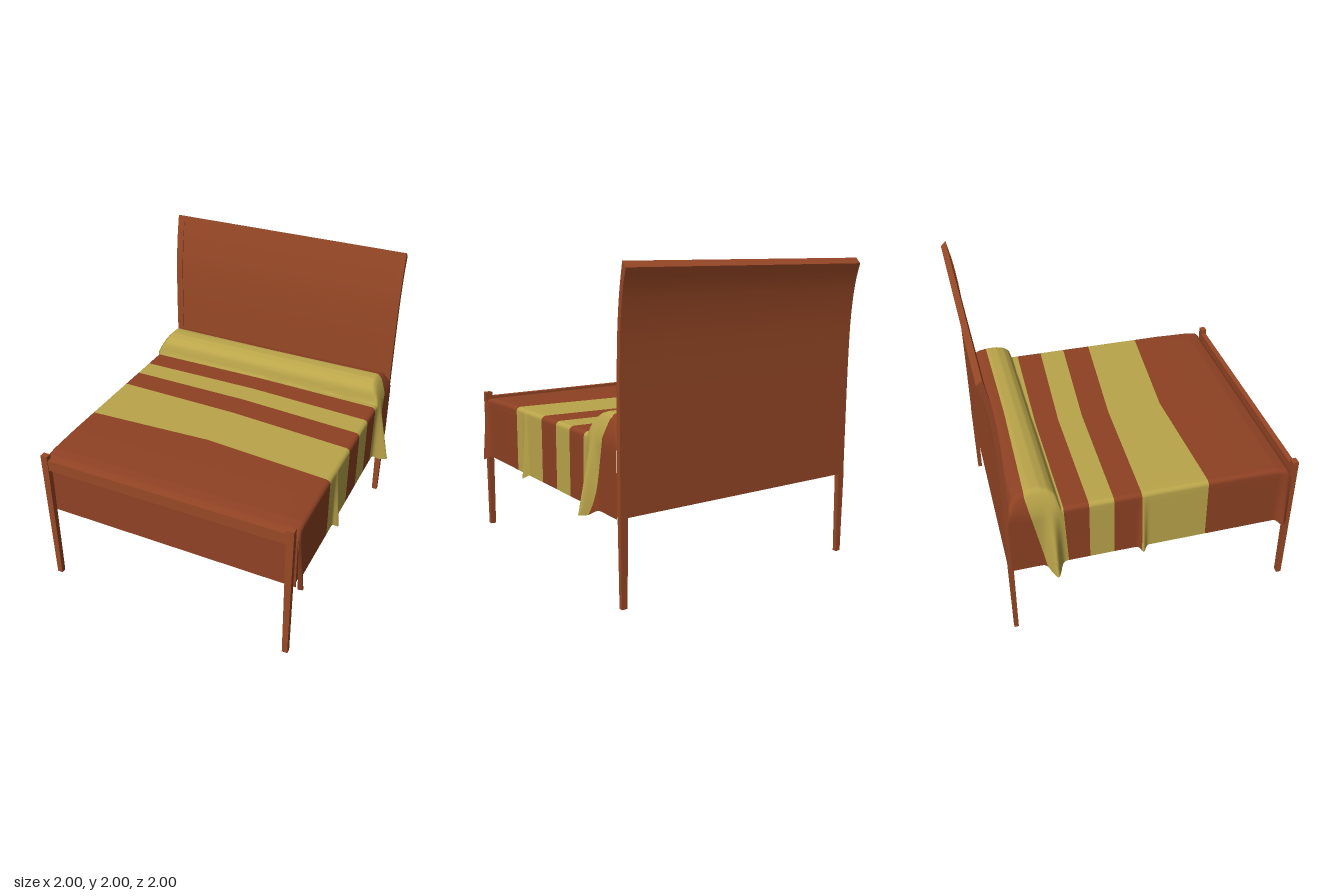
import * as THREE from 'three';
import { toCreasedNormals } from 'three/addons/utils/BufferGeometryUtils.js';

const mat = (name, color, side = THREE.FrontSide) => {
  const m = new THREE.MeshStandardMaterial({ color, side });
  m.name = name;
  return m;
};

// piecewise linear lookup through [key, value] pairs with rising keys
function lookup(table, k) {
  if (k <= table[0][0]) return table[0][1];
  for (let i = 1; i < table.length; i++) {
    const [k0, v0] = table[i - 1], [k1, v1] = table[i];
    if (k <= k1) return v0 + (v1 - v0) * (k - k0) / (k1 - k0);
  }
  return table[table.length - 1][1];
}

// slab with a curved side profile, extruded across x
function curvedSlab(front, back, width) {
  const curve = pts => new THREE.SplineCurve(pts.map(p => new THREE.Vector2(...p))).getPoints(28);
  const geo = new THREE.ExtrudeGeometry(
    new THREE.Shape([...curve(back), ...curve(front).reverse()]),
    { depth: width, bevelEnabled: false });
  geo.rotateY(-Math.PI / 2).translate(width / 2, 0, 0);
  return toCreasedNormals(geo, 0.6);
}

// box leg that narrows towards the floor
function taperedLeg(w, h, d, taper) {
  const geo = new THREE.BoxGeometry(w, h, d).translate(0, h / 2, 0);
  const p = geo.attributes.position;
  for (let i = 0; i < p.count; i++) {
    if (p.getY(i) < 0.01) p.setXYZ(i, p.getX(i) * taper, 0, p.getZ(i) * 0.85);
  }
  geo.computeVertexNormals();
  return geo;
}

// height of the bedspread along z, rising over the bolster
const HEIGHT = [[-0.905, 0.97], [-0.89, 1.04], [-0.865, 1.09], [-0.82, 1.12], [-0.75, 1.134],
  [-0.69, 1.132], [-0.64, 1.115], [-0.605, 1.085], [-0.588, 1.05], [-0.58, 0.99],
  [0.6, 0.988], [0.85, 0.98], [0.92, 0.968], [0.945, 0.945], [0.955, 0.91]];

// stripe edges: z at left end, middle, right end of x, and z shift at the hem
const EDGES = [[0.955, 0.955, 0.955, 0], [0.38, 0.34, 0.41, 0], [-0.06, -0.04, 0.03, 0],
  [-0.24, -0.23, -0.17, 0], [-0.40, -0.40, -0.35, 0], [-0.56, -0.56, -0.53, 0.02],
  [-0.79, -0.77, -0.77, 0.11], [-0.905, -0.905, -0.905, 0]];

// folds of the hanging sides: z, outward reach, width, side (0 = both)
const FOLDS = [[-0.63, 0.1, 0.035, 0], [0.925, 0.04, 0.03, 0], [-0.05, 0.035, 0.02, -1], [0.27, 0.035, 0.02, 1]];

function bedspreadGeometry() {
  const SIDE = 10, ARC = 4, TOP = 8, R = 0.03;
  // one half of the cross-section, from hem to middle
  const half = [];
  for (let i = 0; i <= SIDE; i++) half.push({ kind: 'side', t: i / SIDE });
  for (let i = 1; i <= ARC; i++) half.push({ kind: 'arc', t: i / ARC });
  for (let i = 1; i <= TOP; i++) half.push({ kind: 'top', t: i / TOP });
  const cols = [...half.map(c => ({ ...c, s: 1 })),
    ...half.slice(0, -1).reverse().map(c => ({ ...c, s: -1 }))];

  const edgeZ = (e, c) => {
    const x = c.kind === 'top' ? c.s * (1 - c.t) : c.s;
    const drop = c.kind === 'side' ? 1 - c.t : 0;
    return lookup([[-1, e[0]], [0, e[1]], [1, e[2]]], x) + e[3] * drop;
  };

  const point = (c, z) => {
    const h = lookup(HEIGHT, z);
    const topW = 0.9 - Math.max(0, h - 1) * 0.4;
    let reach = 0;
    for (const [fz, amp, width, side] of FOLDS) {
      if (!side || side === c.s) reach += amp * Math.exp(-(((z - fz) / width) ** 2));
    }
    const hem = 0.545 - Math.min(0.03, reach * 0.7);
    let x, y;
    if (c.kind === 'side') {
      y = hem + (h - R - hem) * c.t;
      x = 0.9 - Math.max(0, y - 1) * 0.4 + reach * Math.max(0, (1 - y) / 0.48);
    } else if (c.kind === 'arc') {
      const a = c.t * Math.PI / 2;
      x = topW - R + R * Math.cos(a);
      y = h - R + R * Math.sin(a);
    } else {
      x = (topW - R) * (1 - c.t);
      y = h;
    }
    return [c.s * x, y, z];
  };

  const pos = [], index = [], geo = new THREE.BufferGeometry(), n = cols.length;
  let row = 0;
  for (let e = 0; e < EDGES.length - 1; e++) {
    const steps = Math.ceil(Math.abs(EDGES[e][1] - EDGES[e + 1][1]) / 0.008);
    const start = index.length;
    for (let i = e ? 1 : 0; i <= steps; i++, row++) {
      for (const c of cols) {
        pos.push(...point(c, THREE.MathUtils.lerp(edgeZ(EDGES[e], c), edgeZ(EDGES[e + 1], c), i / steps)));
      }
      if (row === 0) continue;
      for (let j = 0; j < n - 1; j++) {
        const a = (row - 1) * n + j, d = row * n + j;
        index.push(a, d, a + 1, a + 1, d, d + 1);
      }
    }
    geo.addGroup(start, index.length - start, e % 2);
  }
  geo.setAttribute('position', new THREE.Float32BufferAttribute(pos, 3));
  geo.setIndex(index);
  geo.computeVertexNormals();
  return geo;
}

export function createModel() {
  const model = new THREE.Group();
  model.name = 'bed';
  const wood = mat('wood', 0x984826);
  const red = mat('blanketRed', 0x8e4123, THREE.DoubleSide);
  const yellow = mat('blanketYellow', 0xbaa54a, THREE.DoubleSide);
  const add = (name, geo, material, x = 0, y = 0, z = 0) => {
    const mesh = new THREE.Mesh(geo, material);
    mesh.name = name;
    mesh.position.set(x, y, z);
    model.add(mesh);
  };
  const box = (name, w, h, d, x, y, z, material = wood) =>
    add(name, new THREE.BoxGeometry(w, h, d), material, x, y, z);

  // headboard: posts and panel sweep back towards the top
  const front = [[-0.895, 0.55], [-0.893, 0.95], [-0.896, 1.3], [-0.907, 1.6], [-0.93, 1.82], [-0.965, 2]];
  const back = [[-0.927, 0.55], [-0.927, 0.95], [-0.929, 1.3], [-0.938, 1.6], [-0.963, 1.82], [-1, 1.965]];
  const inset = front.map(([z, y], i) => [z - (i < 5 ? 0.006 : 0), y]);
  add('headboardPanel', curvedSlab(inset, back, 1.7), wood);

  for (const s of [1, -1]) {
    add('headboardPost', curvedSlab(front, back, 0.05), wood, s * 0.865);
    add('backLeg', taperedLeg(0.05, 0.56, 0.033, 0.75), wood, s * 0.866, 0, -0.912);
    add('frontLeg', taperedLeg(0.05, 1.01, 0.04, 0.75), wood, s * 0.865, 0, 0.98);
    box('sideRail', 0.025, 0.25, 1.84, s * 0.875, 0.675, 0.02);
  }

  // foot end
  box('footRail', 1.69, 0.08, 0.035, 0, 0.94, 0.977);
  box('footPanel', 1.74, 0.25, 0.02, 0, 0.675, 0.93);
  box('headRail', 1.74, 0.08, 0.02, 0, 0.59, -0.885);

  // striped bedspread over the mattress and bolster, with its foot drop
  add('bedspread', bedspreadGeometry(), [red, yellow]);
  box('bedspreadFootDrop', 1.8, 0.37, 0.008, 0, 0.733, 0.952, red);
  return model;
}
